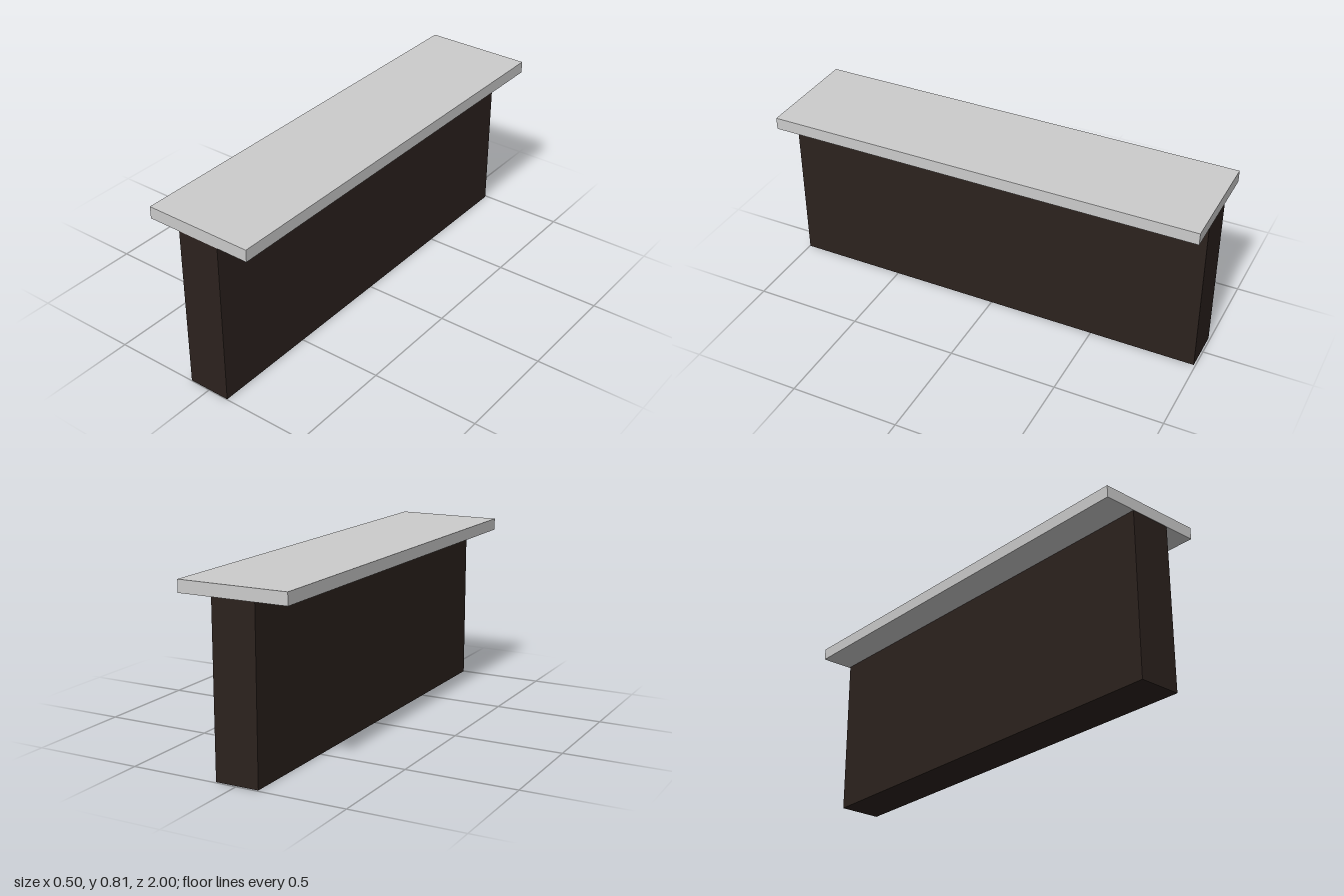
import * as THREE from 'three';

// Adds a named box spanning y0..y1, centred on x and offset along z
function addSlab(group, name, color, width, y0, y1, depth, z = 0) {
  const material = new THREE.MeshStandardMaterial({ color });
  const mesh = new THREE.Mesh(new THREE.BoxGeometry(width, y1 - y0, depth), material);
  mesh.name = name;
  mesh.position.set(0, (y0 + y1) / 2, z);
  group.add(mesh);
}

export function createModel() {
  const group = new THREE.Group();
  group.name = 'counter';

  // Dark solid base wall, very slightly short of the top at the back
  addSlab(group, 'baseWall', 0x2c221e, 0.2, 0, 0.76, 1.99, 0.003);

  // Overhanging flat top
  addSlab(group, 'counterTop', 0xcccccc, 0.504, 0.76, 0.815, 2);

  return group;
}
